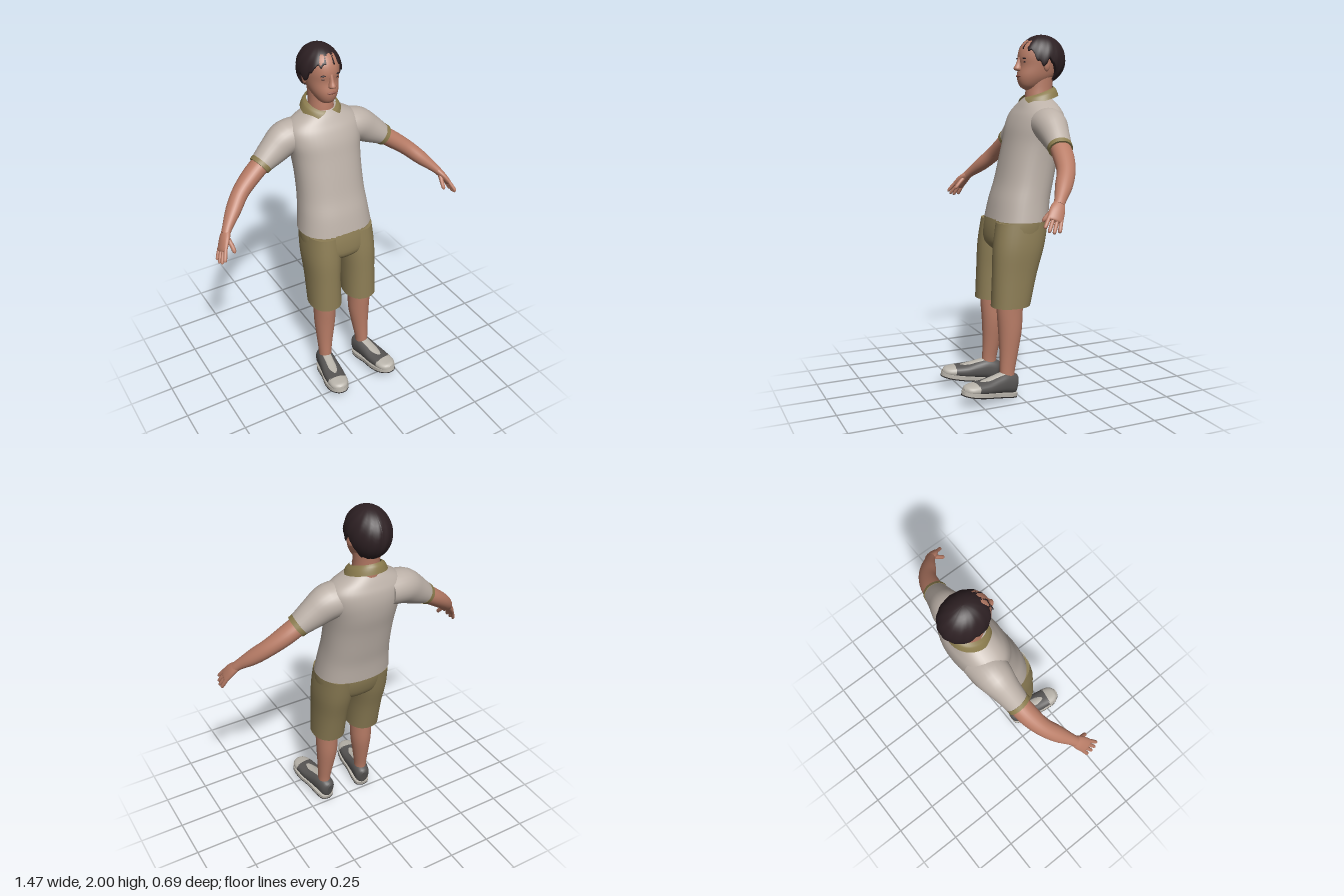
import * as THREE from 'three';

const mat = (name, color, side = THREE.FrontSide) => {
  const m = new THREE.MeshStandardMaterial({ color, side });
  m.name = name;
  return m;
};

const X = new THREE.Vector3(1, 0, 0), Y = new THREE.Vector3(0, 1, 0), Z = new THREE.Vector3(0, 0, 1);

// Catmull-Rom refinement of a list of sections
function refine(s, n) {
  const out = [];
  for (let i = 0; i < s.length - 1; i++) {
    const a = s[Math.max(i - 1, 0)], b = s[i], c = s[i + 1], d = s[Math.min(i + 2, s.length - 1)];
    for (let k = 0; k < n; k++) {
      const t = k / n;
      out.push(b.map((_, j) => b[j] + 0.5 * t * (c[j] - a[j] + t * (2 * a[j] - 5 * b[j] + 4 * c[j] - d[j]
        + t * (3 * (b[j] - c[j]) + d[j] - a[j])))));
    }
  }
  out.push(s[s.length - 1]);
  return out;
}

// Skin over oval sections [x, y, z, halfU, halfV]; axis fixes the section normal, otherwise it follows the path
function loft(sections, { axis = null, ref = X, power = 1, sides = 28, steps = 4 } = {}) {
  const s = refine(sections, steps), pos = [], idx = [], n = s.length;
  const centre = i => new THREE.Vector3(s[i][0], s[i][1], s[i][2]);
  const bend = v => Math.sign(v) * Math.abs(v) ** power;
  for (let i = 0; i < n; i++) {
    const T = axis ? axis.clone() : centre(Math.min(i + 1, n - 1)).sub(centre(Math.max(i - 1, 0))).normalize();
    const U = ref.clone().addScaledVector(T, -ref.dot(T)).normalize();
    const V = T.clone().cross(U);
    for (let j = 0; j < sides; j++) {
      const a = j / sides * Math.PI * 2;
      const p = centre(i).addScaledVector(U, s[i][3] * bend(Math.cos(a))).addScaledVector(V, s[i][4] * bend(Math.sin(a)));
      pos.push(p.x, p.y, p.z);
    }
  }
  for (let i = 0; i < n - 1; i++) for (let j = 0; j < sides; j++) {
    const a = i * sides + j, b = i * sides + (j + 1) % sides;
    idx.push(a, b, b + sides, a, b + sides, a + sides);
  }
  // end caps with their own vertices, so the rims stay crisp
  for (const [row, flip] of [[0, true], [n - 1, false]]) {
    const start = pos.length / 3;
    pos.push(...pos.slice(row * sides * 3, (row + 1) * sides * 3), s[row][0], s[row][1], s[row][2]);
    for (let j = 0; j < sides; j++) {
      const a = start + j, b = start + (j + 1) % sides;
      idx.push(...(flip ? [b, a, start + sides] : [a, b, start + sides]));
    }
  }
  return surface(pos, idx);
}

function surface(pos, idx) {
  const g = new THREE.BufferGeometry();
  g.setAttribute('position', new THREE.Float32BufferAttribute(pos, 3));
  g.setIndex(idx);
  g.computeVertexNormals();
  return g;
}

// Open sheet from a rule f(u, v) -> [x, y, z]
function sheet(nu, nv, f) {
  const pos = [], idx = [];
  for (let i = 0; i <= nu; i++) for (let j = 0; j <= nv; j++) pos.push(...f(i / nu, j / nv));
  for (let i = 0; i < nu; i++) for (let j = 0; j < nv; j++) {
    const a = i * (nv + 1) + j, b = a + nv + 1;
    idx.push(a, a + 1, b + 1, a, b + 1, b);
  }
  return surface(pos, idx);
}

export function createModel() {
  const skin = mat('skin', 0xb97d67), shirt = mat('shirt', 0xbcb1a8), khaki = mat('khaki', 0x8c7d55);
  const trim = mat('trim', 0x8b7c4e, THREE.DoubleSide), hairMat = mat('hair', 0x2d2023, THREE.DoubleSide);
  const shoeGrey = mat('shoeGrey', 0x575554), shoeLight = mat('shoeLight', 0xb9b4ab);
  const rubber = mat('rubber', 0x2a2828), lip = mat('lip', 0x94594b);
  const model = new THREE.Group();
  const add = (parent, name, geo, material) => {
    const m = new THREE.Mesh(geo, material);
    m.name = name;
    parent.add(m);
    return m;
  };
  const blob = (parent, name, material, p, r) => {
    const m = add(parent, name, new THREE.SphereGeometry(1, 16, 12), material);
    m.position.set(...p);
    m.scale.set(...r);
    return m;
  };
  const upright = { axis: Y, power: 0.88, sides: 40 };

  // Torso, leaning back
  add(model, 'shirtBody', loft([
    [.005, .995, -.045, .213, .163], [.005, 1.1, -.062, .2, .157], [.006, 1.2, -.088, .191, .152],
    [.006, 1.32, -.115, .19, .15], [.006, 1.42, -.14, .197, .15], [.005, 1.5, -.155, .212, .145],
    [.005, 1.56, -.165, .213, .13], [.005, 1.6, -.17, .185, .11], [.005, 1.635, -.173, .125, .09],
    [.005, 1.66, -.175, .08, .07]], upright), shirt);
  add(model, 'neck', loft([[.005, 1.58, -.18, .075, .08], [.005, 1.67, -.182, .068, .077],
    [.005, 1.72, -.185, .066, .075], [.005, 1.8, -.19, .068, .08]], { axis: Y }), skin);

  // Fold-down collar, open at the front with pointed tips
  add(model, 'collar', sheet(48, 5, (u, v) => {
    const gap = .22 + .52 * v, a = gap + u * (Math.PI * 2 - 2 * gap), back = (1 - Math.cos(a)) / 2;
    const w = Math.sqrt(v);
    return [.005 + Math.sin(a) * (.076 + .036 * w), 1.662 + .06 * back - v * (.045 + .002 * back),
      -.178 + Math.cos(a) * (.088 + .026 * w)];
  }), trim);

  // Head
  const head = new THREE.Group();
  head.name = 'head';
  head.position.x = .005;
  model.add(head);
  add(head, 'face', loft([[0, 1.702, -.14, .025, .04], [0, 1.718, -.132, .043, .058], [0, 1.745, -.145, .061, .085],
    [0, 1.78, -.165, .076, .109], [0, 1.83, -.18, .086, .115], [0, 1.88, -.19, .092, .129],
    [0, 1.93, -.195, .09, .12], [0, 1.97, -.195, .065, .085], [0, 1.985, -.195, .03, .04]],
  { axis: Y, power: .95, sides: 36 }), skin);
  add(head, 'nose', loft([[0, 1.803, -.065, .014, .012], [0, 1.815, -.055, .02, .024], [0, 1.842, -.062, .012, .018],
    [0, 1.878, -.07, .01, .012]], { axis: Y, sides: 16 }), skin);
  blob(head, 'lips', lip, [0, 1.776, -.058], [.027, .007, .006]);
  for (const s of [1, -1]) {
    blob(head, 'eye', hairMat, [s * .036, 1.852, -.079], [.013, .005, .007]);
    blob(head, 'eyebrow', hairMat, [s * .038, 1.872, -.075], [.02, .0045, .008]).rotation.z = -s * .1;
    blob(head, 'ear', skin, [s * .093, 1.835, -.185], [.012, .034, .022]).rotation.y = s * .3;
  }

  // Hair cap, with a hairline that varies around the head
  const line = [[0, 1.93], [.75, 1.915], [1.05, 1.865], [1.3, 1.825], [1.5, 1.865], [1.75, 1.85], [2.05, 1.77], [Math.PI, 1.735]];
  const hairline = a => {
    const k = Math.max(1, line.findIndex(p => p[0] >= a - 1e-6));
    const [a0, y0] = line[k - 1], [a1, y1] = line[k];
    return y0 + (y1 - y0) * (a - a0) / (a1 - a0);
  };
  add(head, 'hair', sheet(96, 18, (u, v) => {
    const a = u * Math.PI * 2 - Math.PI;
    const edge = hairline(Math.min(Math.abs(a), Math.PI)) + .007 * Math.sin(a * 17) + .004 * Math.sin(a * 29);
    const polar = Math.acos(THREE.MathUtils.clamp((edge - 1.865) / .135, -.96, .96));
    const p = polar * Math.min(v * 18 / 17, 1);
    const r = v > .97 ? .86 : 1 + .012 * Math.sin(a * 13 + p * 5) * Math.sin(p);
    return [Math.sin(a) * Math.sin(p) * .114 * r, 1.865 + Math.cos(p) * .135, -.197 + Math.cos(a) * Math.sin(p) * .138 * r];
  }), hairMat);

  // Arms, with the body turned so the right one sits further back
  for (const s of [1, -1]) {
    const arm = new THREE.Group();
    arm.name = s > 0 ? 'leftArm' : 'rightArm';
    arm.position.z = s > 0 ? 0 : -.042;
    model.add(arm);
    const limb = (name, sections, material, opt = {}) =>
      add(arm, name, loft(sections.map(([x, ...r]) => [s * x, ...r]), { ref: Z, ...opt }), material);
    limb('sleeve', [[.1, 1.52, -.158, .1, .085], [.2, 1.512, -.153, .096, .094], [.28, 1.465, -.143, .078, .082],
      [.365, 1.41, -.13, .064, .058]], shirt);
    limb('sleeveTrim', [[.358, 1.415, -.131, .067, .061], [.378, 1.401, -.127, .066, .058]], trim, { steps: 1 });
    limb('bareArm', [[.33, 1.432, -.135, .055, .05], [.42, 1.37, -.12, .056, .049], [.51, 1.302, -.088, .048, .044],
      [.58, 1.238, -.038, .044, .039], [.635, 1.187, .008, .031, .027], [.66, 1.16, .03, .028, .022]], skin);
    limb('palm', [[.65, 1.17, .02, .027, .021], [.675, 1.14, .045, .039, .02], [.7, 1.1, .07, .041, .016],
      [.706, 1.09, .076, .036, .01]], skin);
    for (let i = 0; i < 4; i++) {
      const k = i - 1.5, long = 1 - .08 * k * k;
      const at = (t, r) => [.698 - .005 * k + .032 * t * long, 1.105 + .008 * k - .068 * t * long,
        .067 + k * (.018 + .006 * t) + .038 * t * long, r, r];
      limb('finger', [at(0, .01), at(.5, .0105), at(.9, .009), at(1, .004)], skin, { sides: 10, steps: 3 });
    }
    limb('thumb', [[.662, 1.15, .045, .014, .014], [.653, 1.118, .08, .012, .012], [.65, 1.092, .104, .011, .011],
      [.651, 1.082, .112, .004, .004]], skin, { sides: 10 });
  }

  // Shorts and legs
  add(model, 'shortsSeat', loft([[.005, .825, -.01, .09, .1], [.005, .87, -.016, .19, .143], [.005, .95, -.03, .207, .157],
    [.005, 1.025, -.042, .204, .153]], upright), khaki);
  for (const s of [1, -1]) {
    const leg = new THREE.Group();
    leg.name = s > 0 ? 'leftLeg' : 'rightLeg';
    leg.position.x = .005;
    model.add(leg);
    const limb = (name, sections, material, opt) =>
      add(leg, name, loft(sections.map(([x, ...r]) => [s * x, ...r]), opt), material);
    limb('shortsLeg', [[.114, .525, .04, .092, .11], [.113, .7, .016, .093, .127], [.109, .85, -.01, .102, .146],
      [.102, .99, -.034, .1, .15]], khaki, { axis: Y, power: .9, sides: 32 });
    limb('bareLeg', [[.129, .07, .068, .036, .042], [.128, .15, .066, .036, .043], [.123, .25, .055, .046, .052],
      [.117, .38, .045, .06, .067], [.117, .5, .046, .062, .075], [.117, .62, .045, .064, .08]], skin, { axis: Y });

    // Shoe, toe raised and turned outward
    const shoe = new THREE.Group();
    shoe.name = 'shoe';
    shoe.position.set(s * .122, .007, .02);
    shoe.rotation.set(-.2, s * .15, 0, 'YXZ');
    leg.add(shoe);
    const along = { axis: Z, power: .85, sides: 28 };
    add(shoe, 'shoeUpper', loft([[0, .062, 0, .018, .045], [0, .066, .02, .043, .056], [0, .069, .08, .05, .06],
      [0, .057, .14, .055, .051], [0, .044, .2, .06, .039], [0, .034, .27, .058, .031]], along), shoeGrey);
    add(shoe, 'toeCap', loft([[0, .034, .265, .0595, .032], [0, .029, .3, .053, .026], [0, .026, .325, .036, .02],
      [0, .024, .337, .012, .01]], along), shoeLight);
    add(shoe, 'tongue', loft([[0, .118, .095, .026, .014], [0, .096, .14, .029, .016], [0, .071, .2, .03, .016],
      [0, .053, .255, .024, .014]], { axis: Z, sides: 20 }), shoeLight);
    const outline = new THREE.Shape();
    outline.moveTo(0, -.006);
    outline.splineThru([[.038, .008], [.051, .06], [.054, .14], [.065, .22], [.058, .29], [.03, .332], [0, .342], [-.03, .332],
      [-.058, .29], [-.065, .22], [-.054, .14], [-.051, .06], [-.038, .008], [0, -.006]].map(p => new THREE.Vector2(...p)));
    for (const [name, depth, top, material] of [['soleEdge', .02, .02, shoeLight], ['soleTread', .006, 0, rubber]]) {
      const g = new THREE.ExtrudeGeometry(outline, { depth, bevelEnabled: false, curveSegments: 40 });
      add(shoe, name, g.rotateX(Math.PI / 2).translate(0, top, 0), material);
    }
  }
  return model;
}
